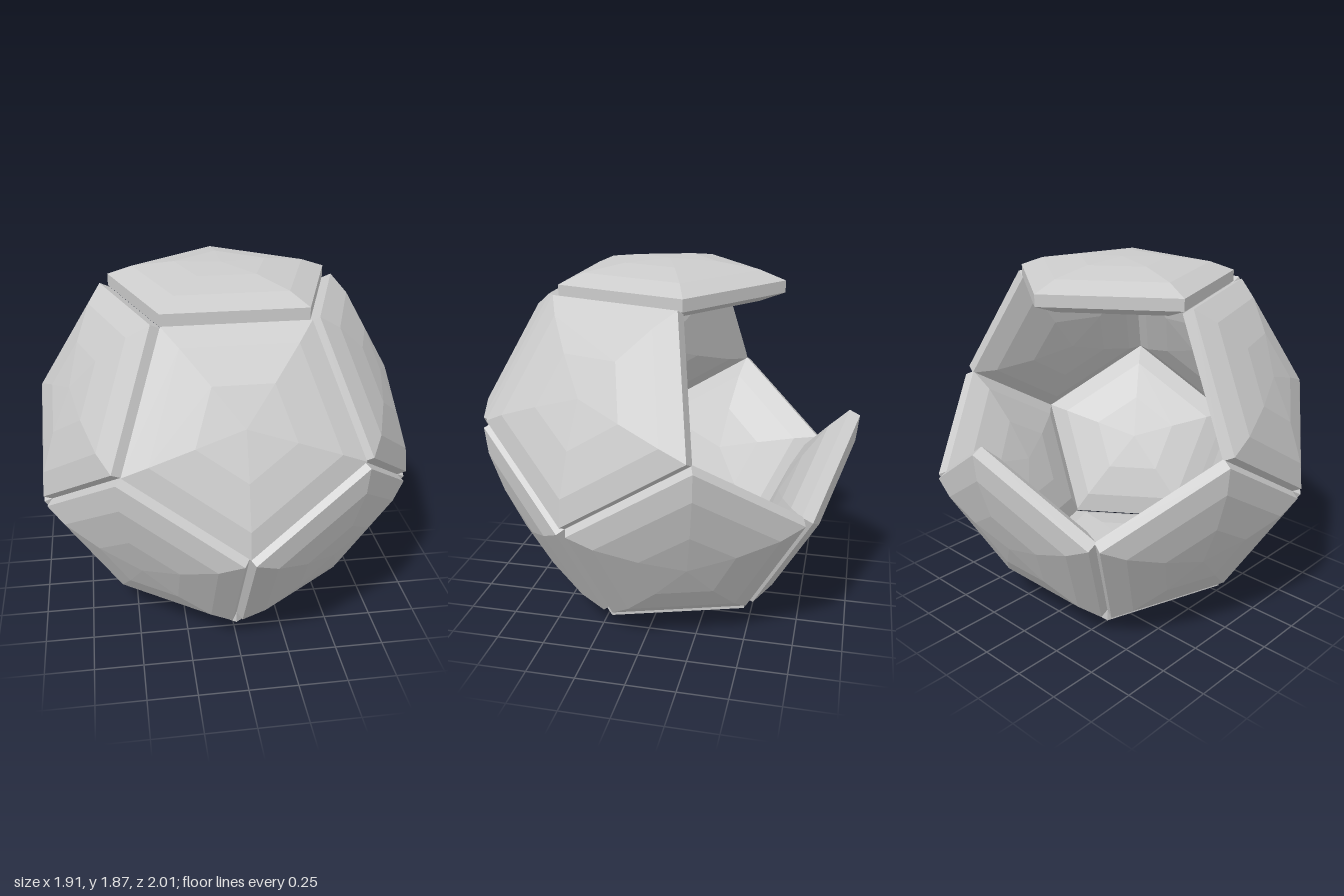
import * as THREE from 'three';

export function createModel() {
  const model = new THREE.Group();
  model.name = 'openDodecahedronShell';
  const material = new THREE.MeshStandardMaterial({ color: 0xcccccc, flatShading: true });

  // Lens-shaped pentagonal plate: domed on both faces, with a straight rim
  const R = 0.592;
  const dome = [[R, 0.03], [R * 0.78, 0.079], [R * 0.41, 0.113], [0, 0.123]];
  const profile = [
    ...dome.map(([r, h]) => [r, -h]).reverse(),
    ...dome,
  ].map(([r, h]) => new THREE.Vector2(r, h));
  const plate = new THREE.LatheGeometry(profile, 5);

  // Places a plate by azimuth, tilt from vertical and turn about its own axis
  function addPlate(name, azimuth, tilt, turn, distance) {
    const mesh = new THREE.Mesh(plate, material);
    mesh.name = name;
    mesh.position.y = 0.933;
    mesh.rotateY(THREE.MathUtils.degToRad(azimuth));
    mesh.rotateX(THREE.MathUtils.degToRad(tilt));
    mesh.rotateY(turn);
    mesh.translateY(distance);
    model.add(mesh);
  }

  const tilt = 63.435;
  addPlate('topPlate', 0, 0, Math.PI, 0.81);
  addPlate('bottomPlate', 0, 180, Math.PI, 0.81);

  // Upper ring: the two rear plates are left out as the opening
  [0, 72, -72].forEach((a, i) => addPlate(`upperPlate${i + 1}`, a, tilt, 0, 0.795));

  // Lower ring: complete
  for (let i = 0; i < 5; i++) {
    addPlate(`lowerPlate${i + 1}`, 36 + i * 72, 180 - tilt, Math.PI, 0.795);
  }
  return model;
}
